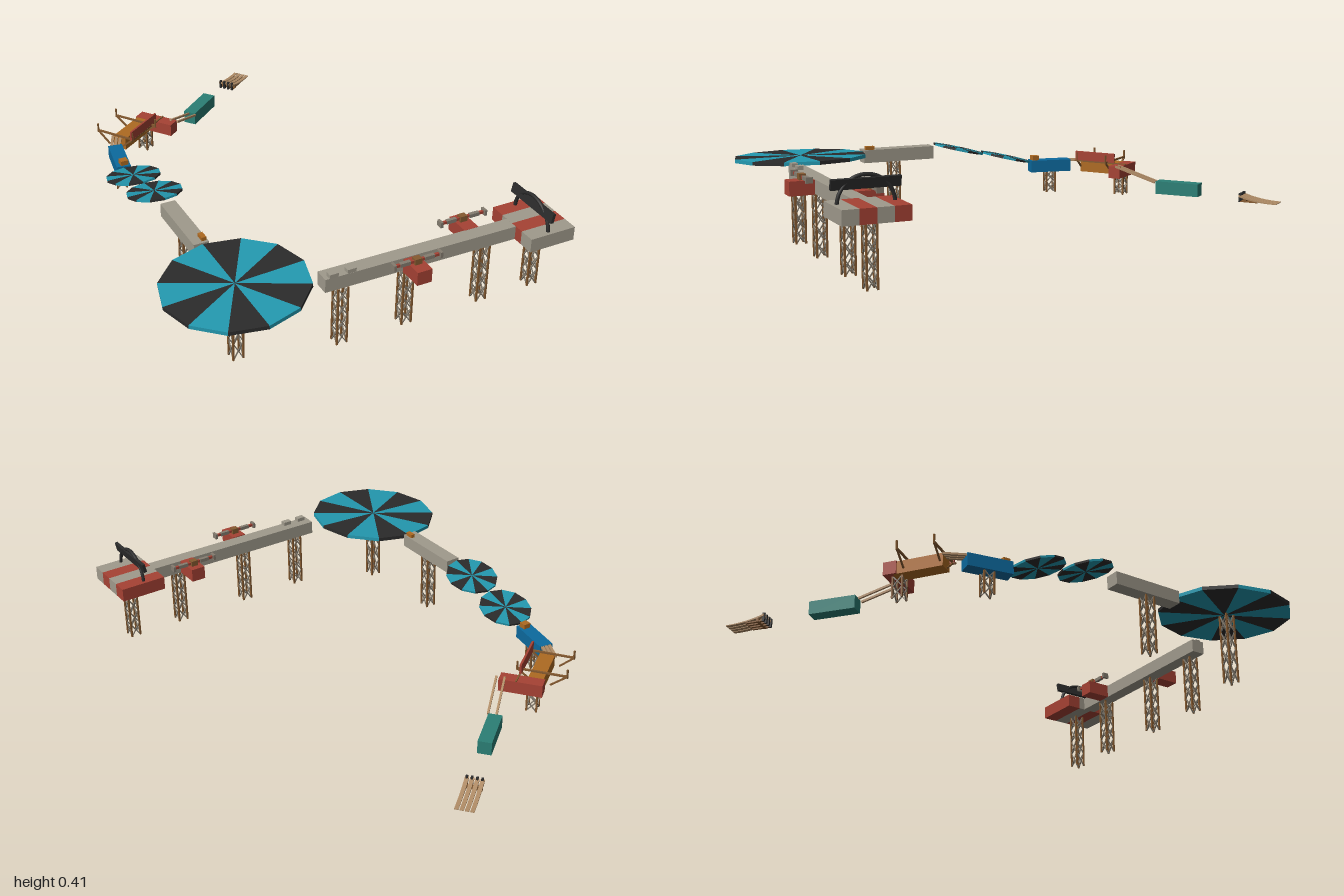
import * as THREE from 'three';
import { mergeGeometries } from 'three/addons/utils/BufferGeometryUtils.js';

const colour = (name, hex) => {
  const m = new THREE.MeshStandardMaterial({ color: hex });
  m.name = name;
  return m;
};
const M = {
  stone: colour('stone grey', 0xa09a8c),
  red: colour('brick red', 0xa64234),
  cyan: colour('cyan', 0x2399b0),
  black: colour('black', 0x2b2b2b),
  blue: colour('blue', 0x0c6a9e),
  orange: colour('orange', 0xae6a22),
  green: colour('sea green', 0x2b7f75),
  tan: colour('tan wood', 0xb08c66),
  brown: colour('brown', 0x855a30),
  steel: colour('steel', 0x857d70),
};
const V = (x, y, z) => new THREE.Vector3(x, y, z);

// square bar between two points
function barGeometry(a, b, w, h = w) {
  const g = new THREE.BoxGeometry(w, h, a.distanceTo(b));
  const o = new THREE.Object3D();
  o.position.copy(a).add(b).multiplyScalar(0.5);
  o.lookAt(b);
  o.updateMatrix();
  return g.applyMatrix4(o.matrix);
}

export function createModel() {
  const root = new THREE.Group();
  root.name = 'obstacleCourse';

  const add = (name, geo, mat, parent = root) => {
    const m = new THREE.Mesh(geo, mat);
    m.name = name;
    parent.add(m);
    return m;
  };
  const box = (name, mat, x0, x1, y0, y1, z0, z1, parent = root) => {
    const m = add(name, new THREE.BoxGeometry(x1 - x0, y1 - y0, z1 - z0), mat, parent);
    m.position.set((x0 + x1) / 2, (y0 + y1) / 2, (z0 + z1) / 2);
    return m;
  };
  const bar = (name, mat, a, b, w, h, parent) => add(name, barGeometry(a, b, w, h), mat, parent);
  // level block along a ground line
  const block = (name, mat, x0, z0, x1, z1, y0, y1, w) =>
    bar(name, mat, V(x0, (y0 + y1) / 2, z0), V(x1, (y0 + y1) / 2, z1), w, y1 - y0);

  // lattice tower: four posts and crossed braces on every side
  function tower(x, z, y0, y1, angle = 0, bays = 4) {
    const g = new THREE.Group();
    g.name = 'supportTower';
    g.position.set(x, 0, z);
    g.rotation.y = angle;
    root.add(g);
    const r = 0.019, posts = [], braces = [];
    const c = [[-r, -r], [r, -r], [r, r], [-r, r]];
    const step = (y1 - y0) / bays;
    c.forEach(([px, pz], i) => {
      const [qx, qz] = c[(i + 1) % 4];
      posts.push(barGeometry(V(px, y0, pz), V(px, y1, pz), 0.0065));
      for (let k = 0; k < bays; k++) {
        const a = y0 + k * step, b = a + step;
        braces.push(barGeometry(V(px, a, pz), V(qx, b, qz), 0.004));
        braces.push(barGeometry(V(qx, a, qz), V(px, b, pz), 0.004));
      }
    });
    add('towerPosts', mergeGeometries(posts), M.brown, g);
    add('towerBraces', mergeGeometries(braces), M.steel, g);
  }

  // twelve-sided disc in alternating wedges
  function disc(name, x, y, z, r, t) {
    const g = new THREE.Group();
    g.name = name;
    g.position.set(x, y, z);
    root.add(g);
    [M.cyan, M.black].forEach((mat, k) => {
      const wedges = [];
      for (let i = k; i < 12; i += 2) {
        const w = new THREE.CylinderGeometry(r, r, t, 1, 1, false, i * Math.PI / 6, Math.PI / 6).toNonIndexed();
        w.computeVertexNormals();
        wedges.push(w);
      }
      add(k ? 'darkWedges' : 'brightWedges', mergeGeometries(wedges), mat, g);
    });
    return g;
  }

  // start platform in four stripes
  for (let i = 0; i < 4; i++) {
    const z = 0.725 + i * 0.0595;
    box('startStripe', i % 2 ? M.stone : M.red, 0.555, 0.74, 0.255, 0.308, z, z + 0.0595);
  }

  // start arch and banner
  const arch = new THREE.Group();
  arch.name = 'startArch';
  arch.position.set(0.637, 0.3, 0.845);
  arch.rotation.y = Math.PI / 2;
  root.add(arch);
  add('archTube', new THREE.TorusGeometry(0.1, 0.007, 8, 24, Math.PI), M.black, arch);
  const banner = add('archBanner', new THREE.BoxGeometry(0.242, 0.036, 0.012), M.black, arch);
  banner.position.set(0, 0.072, 0);
  banner.rotation.x = 0.2;

  // long beam and its kerb blocks
  block('longBeam', M.stone, -0.205, 0.829, 0.557, 0.839, 0.255, 0.3075, 0.057);
  for (const x of [-0.172, -0.103]) box('kerbBlock', M.stone, x - 0.017, x + 0.017, 0.307, 0.322, 0.835, 0.858);
  for (const x of [-0.137, 0.122, 0.435, 0.657]) tower(x, 0.842, 0.022, 0.256);

  // side blocks with spinning arms
  for (const [x, z0, z1, za] of [[0.122, 0.866, 0.96, 0.906], [0.407, 0.71, 0.81, 0.748]]) {
    box('sideBlock', M.red, x - 0.029, x + 0.029, 0.255, 0.308, z0, z1);
    const s = new THREE.Group();
    s.name = 'spinner';
    s.position.set(x, 0.319, za);
    root.add(s);
    box('spinnerHub', M.brown, -0.014, 0.014, -0.012, 0.011, -0.012, 0.012, s);
    box('spinnerArm', M.red, -0.09, 0.09, -0.005, 0.005, -0.005, 0.005, s);
    for (const k of [-1, 1]) {
      box('spinnerEnd', M.steel, k * 0.092 - 0.005, k * 0.092 + 0.005, -0.011, 0.011, -0.013, 0.013, s);
      box('spinnerCollar', M.steel, k * 0.048 - 0.02, k * 0.048 + 0.02, -0.007, 0.007, -0.007, 0.007, s);
    }
  }

  // large tilted turntable
  disc('largeTurntable', -0.48, 0.294, 0.73, 0.262, 0.014).rotation.z = 0.05;
  tower(-0.483, 0.738, 0, 0.286);

  // short beam
  box('shortBeam', M.stone, -0.515, -0.457, 0.255, 0.307, 0.17, 0.47);
  box('shortBeamStop', M.orange, -0.48, -0.462, 0.306, 0.321, 0.425, 0.46);
  tower(-0.486, 0.334, 0.022, 0.256);

  // descending pair of small discs
  disc('upperDisc', -0.488, 0.284, 0.046, 0.106, 0.008).rotation.x = -0.23;
  disc('lowerDisc', -0.488, 0.236, -0.17, 0.106, 0.008).rotation.x = -0.23;

  // blue block with stop, and the bridge after it
  block('blueBlock', M.blue, -0.484, -0.284, -0.454, -0.457, 0.165, 0.215, 0.056);
  box('blueBlockStop', M.orange, -0.492, -0.462, 0.214, 0.234, -0.318, -0.29);
  tower(-0.467, -0.371, 0.076, 0.166, -0.17, 2);
  for (const k of [-1, 0, 1]) {
    const o = k * 0.014;
    bar('bridgePlank', M.tan, V(-0.455 + o, 0.21, -0.452 + o * 0.4), V(-0.418 + o, 0.21, -0.53 + o * 0.4), 0.011, 0.008);
  }

  // orange block and red corner block
  block('orangeBlock', M.orange, -0.415, -0.509, -0.257, -0.62, 0.165, 0.2142, 0.058);
  block('redBlock', M.red, -0.27, -0.655, -0.17, -0.522, 0.165, 0.215, 0.05);
  tower(-0.264, -0.608, 0.08, 0.166, 0.6, 2);

  // red side panel carried on cross rods and struts
  block('sidePanel', M.red, -0.385, -0.456, -0.236, -0.56, 0.215, 0.257, 0.008);
  block('panelRail', M.brown, -0.388, -0.452, -0.19, -0.59, 0.213, 0.219, 0.006);
  for (const [xa, za, xb, zb] of [[-0.473, -0.594, -0.378, -0.458], [-0.362, -0.679, -0.251, -0.525]]) {
    bar('crossRod', M.brown, V(xa, 0.22, za), V(xb, 0.22, zb), 0.007);
    for (const [x, z] of [[xa, za], [xb, zb]]) {
      const mx = (xa + xb) / 2, mz = (za + zb) / 2;
      bar('strut', M.brown, V(x, 0.219, z), V(mx + (x - mx) * 0.35, 0.172, mz + (z - mz) * 0.35), 0.006);
      bar('rodEnd', M.brown, V(x, 0.213, z), V(x, 0.25, z + 0.0001), 0.006);
    }
  }

  // sloping twin rails
  for (const k of [-1, 1]) {
    const ox = k * 0.01, oz = k * 0.012;
    bar('slideRail', M.tan, V(-0.165 + ox, 0.217, -0.532 + oz), V(-0.035 + ox, 0.162, -0.645 + oz), 0.008);
  }

  // green landing block
  block('greenBlock', M.green, -0.041, -0.657, 0.101, -0.77, 0.115, 0.167, 0.052);

  // finish ramp of curved planks
  const ramp = new THREE.Group();
  ramp.name = 'finishRamp';
  ramp.position.set(0.294, 0.11, -0.93);
  ramp.rotation.y = 0.665;
  root.add(ramp);
  const side = new THREE.Shape();
  side.moveTo(-0.076, 0.028);
  side.quadraticCurveTo(-0.01, 0.004, 0.078, 0.003);
  side.lineTo(0.078, 0);
  side.quadraticCurveTo(-0.01, -0.001, -0.076, 0.02);
  const plank = new THREE.ExtrudeGeometry(side, { depth: 0.0145, bevelEnabled: false, curveSegments: 8 });
  for (let i = 0; i < 4; i++) {
    add('rampPlank', plank, M.tan, ramp).position.z = -0.035 + i * 0.0185;
    const z = -0.0275 + i * 0.0185;
    box('rampPost', M.black, -0.078, -0.068, 0, 0.034, z - 0.004, z + 0.004, ramp);
    box('rampFoot', M.brown, -0.07, 0, 0, 0.005, z - 0.004, z + 0.004, ramp);
  }
  box('rampCrossbar', M.brown, -0.055, -0.045, 0, 0.014, -0.034, 0.034, ramp);

  return root;
}
